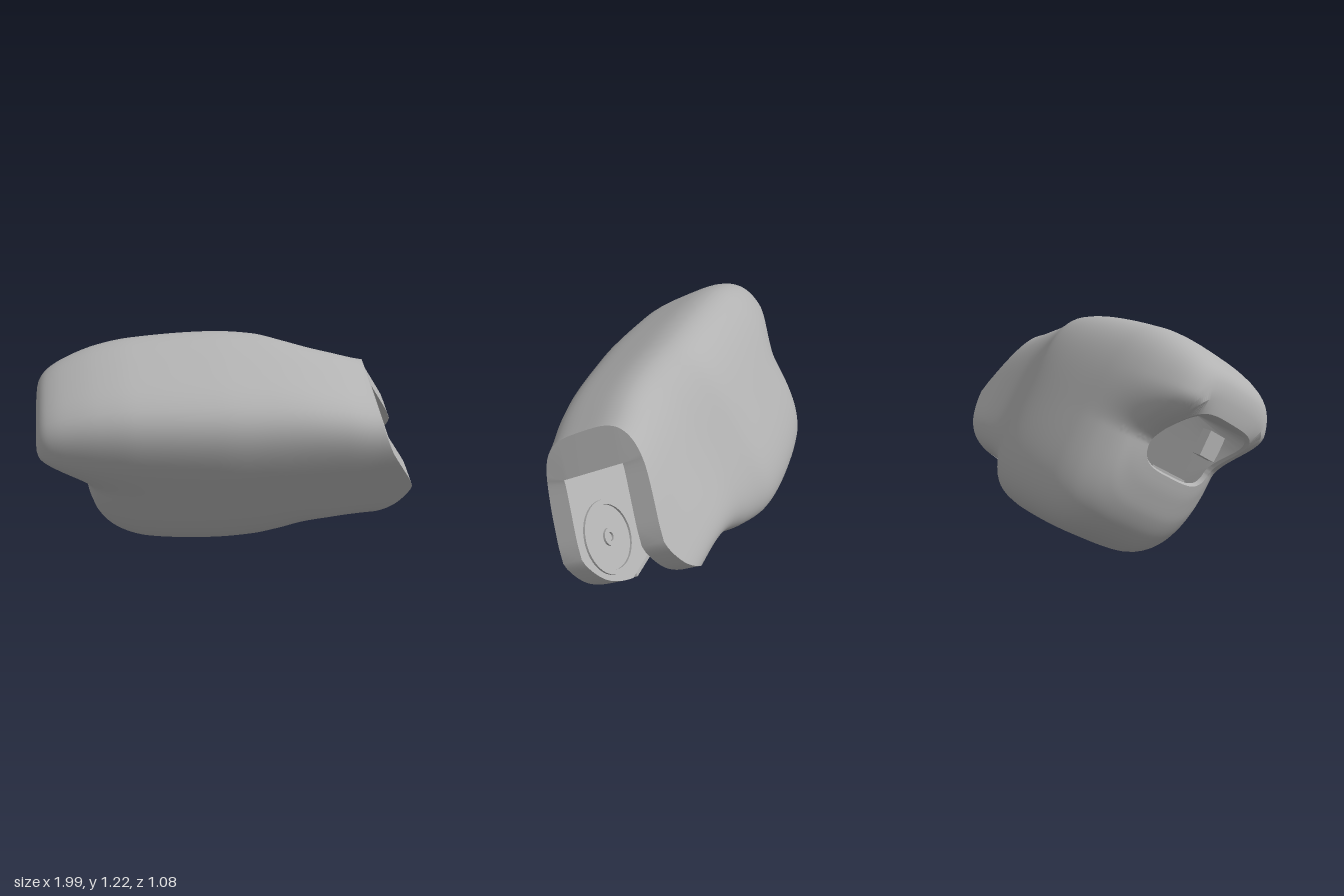
import * as THREE from 'three';
import { toCreasedNormals } from 'three/addons/utils/BufferGeometryUtils.js';

const { clamp, smoothstep } = THREE.MathUtils;

// Smooth interpolation through rows of [key, values...]
function sample(rows, key) {
  const k = clamp(key, rows[0][0], rows[rows.length - 1][0]);
  let i = 0;
  while (i < rows.length - 2 && k > rows[i + 1][0]) i++;
  const slope = (n, c) => {
    const a = rows[Math.max(n - 1, 0)], b = rows[Math.min(n + 1, rows.length - 1)];
    return (b[c] - a[c]) / (b[0] - a[0]);
  };
  const a = rows[i], b = rows[i + 1], h = b[0] - a[0], t = (k - a[0]) / h;
  return a.slice(1).map((_, n) => {
    const c = n + 1, t2 = t * t, t3 = t2 * t;
    return (2 * t3 - 3 * t2 + 1) * a[c] + (t3 - 2 * t2 + t) * h * slope(i, c)
      + (3 * t2 - 2 * t3) * b[c] + (t3 - t2) * h * slope(i + 1, c);
  });
}

// Shell extents along its length: station, side min, side max, bottom, top
const EXTENTS = [
  [-1, -0.175, 0.235, -0.11, 0.22],
  [-0.99, -0.205, 0.255, -0.16, 0.32],
  [-0.97, -0.235, 0.272, -0.215, 0.385],
  [-0.92, -0.28, 0.3, -0.32, 0.435],
  [-0.82, -0.325, 0.33, -0.43, 0.485],
  [-0.68, -0.365, 0.36, -0.51, 0.53],
  [-0.5, -0.39, 0.388, -0.555, 0.56],
  [-0.1, -0.405, 0.42, -0.578, 0.576],
  [0.15, -0.382, 0.42, -0.57, 0.565],
  [0.3, -0.325, 0.414, -0.525, 0.55],
  [0.42, -0.28, 0.406, -0.46, 0.53],
  [0.55, -0.252, 0.396, -0.422, 0.5],
  [0.75, -0.238, 0.382, -0.41, 0.44],
  [1, -0.235, 0.375, -0.41, 0.42],
];
// Fork end outline: relative height, x
const FORK_END = [
  [-1, 0.72], [-0.92, 0.785], [-0.8, 0.86], [-0.65, 0.925], [-0.5, 0.965], [-0.3, 0.995],
  [-0.15, 0.999], [0, 0.965], [0.3, 0.885], [0.6, 0.805], [1, 0.72],
];
const POWER = 3.8;
const SLOT = { w0: -0.11, w1: 0.255, v0: -0.38, v1: 0.27, x: 0.55 };

// Columns around the section; the slot columns at the bottom stop short of the fork
function makeColumns() {
  const edge = Math.acos(Math.pow(0.6, POWER / 2));
  const cols = [];
  const arc = (middle, half, n, slot) => {
    for (let i = -n; i <= n; i++) {
      const t = middle + half * Math.sign(i) * (i / n) ** 2;
      const c = Math.cos(t), s = Math.sin(t);
      cols.push({
        w: Math.sign(c) * Math.pow(Math.abs(c), 2 / POWER),
        v: Math.sign(s) * Math.pow(Math.abs(s), 2 / POWER),
        slot,
      });
    }
  };
  arc(0, edge, 24, false);
  arc(Math.PI / 2, Math.PI / 2 - edge, 5, false);
  arc(Math.PI, edge, 24, false);
  arc(Math.PI * 1.5, Math.PI / 2 - edge, 5, true);
  return cols;
}

function shellGeometry() {
  const cols = makeColumns();
  const endX = (c, v) => (c.slot ? SLOT.x : sample(FORK_END, v)[0]);
  // the lower corners get squarer toward the fork
  const height = (c, x) => (c.v > 0 ? c.v : -Math.pow(-c.v, 1 - 0.45 * smoothstep(x, 0.25, 0.6)));
  const outer = (s, c) => {
    const reach = Math.max(0, (s - SLOT.x) / (1 - SLOT.x));
    const x = Math.min(s, SLOT.x) + reach * (endX(c, height(c, 1)) - SLOT.x);
    const [w0, w1, v0, v1] = sample(EXTENTS, x);
    const y = (v0 + v1) / 2 + (v1 - v0) / 2 * height(c, x);
    // the rear end is set back below its upper lip
    const notch = 0.24 * (1 - smoothstep(y, -0.02, 0.26)) * Math.max(0, -s) ** 2;
    return [x + notch, y, (w0 + w1) / 2 + (w1 - w0) / 2 * c.w];
  };
  const inner = (c, x) => {
    const p = outer(1, c);
    return [x ?? endX(c, Math.min(height(c, 1), 0.6)),
      clamp(p[1], SLOT.v0, SLOT.v1), clamp(p[2], SLOT.w0, SLOT.w1)];
  };
  const rings = [];
  // outside surface, closely spaced where the rear end rounds over
  for (let i = 0; i <= 60; i++) {
    const t = i / 60;
    const s = -1 + (1 + SLOT.x) * (0.75 * t * t + 0.25 * t);
    rings.push(cols.map((c) => outer(s, c)));
  }
  // fork cheeks
  for (let i = 1; i <= 12; i++) {
    rings.push(cols.map((c) => outer(SLOT.x + (1 - SLOT.x) * i / 12, c)));
  }
  // fork end face, cavity walls and rear lip
  rings.push(cols.map((c) => inner(c)));
  rings.push(cols.map((c) => inner(c, 0.45)));
  rings.push(cols.map((c) => inner(c, -0.45)));
  rings.push(cols.map((c) => {
    const p = outer(-1, c);
    return [p[0] + 0.02, 0.055 + (p[1] - 0.055) * 0.94, 0.03 + (p[2] - 0.03) * 0.94];
  }));

  const pos = rings.flat(2), index = [], n = cols.length;
  rings.forEach((_, i) => {
    const r0 = i * n, r1 = ((i + 1) % rings.length) * n;
    for (let j = 0; j < n; j++) {
      const k = (j + 1) % n;
      index.push(r0 + j, r1 + j, r0 + k, r1 + j, r1 + k, r0 + k);
    }
  });
  const g = new THREE.BufferGeometry();
  g.setAttribute('position', new THREE.Float32BufferAttribute(pos, 3));
  g.setIndex(index);
  return toCreasedNormals(g, 0.6);
}

export function createModel() {
  const model = new THREE.Group();
  model.name = 'limbCover';
  const grey = new THREE.MeshStandardMaterial({ color: 0xb2b2b2 });
  grey.name = 'grey plastic';

  // The whole cover is rolled about its long axis
  const body = new THREE.Group();
  body.name = 'rolledCover';
  body.rotation.x = Math.PI / 6;
  model.add(body);
  const add = (name, geometry, x, v, w) => {
    const mesh = new THREE.Mesh(geometry, grey);
    mesh.name = name;
    mesh.position.set(x, v, w);
    body.add(mesh);
    return mesh;
  };

  const shell = add('shell', shellGeometry(), 0, 0, 0);

  // Round hinge seats on the inner faces of both fork cheeks
  const seat = new THREE.Shape().absarc(0, 0, 0.19, 0, Math.PI * 2);
  seat.holes.push(new THREE.Path().absarc(0, 0, 0.165, 0, Math.PI * 2, true));
  const hub = new THREE.Shape().absarc(0, 0, 0.045, 0, Math.PI * 2);
  hub.holes.push(new THREE.Path().absarc(0, 0, 0.022, 0, Math.PI * 2, true));
  const options = { depth: 0.012, bevelEnabled: false, curveSegments: 32 };
  for (const [side, w] of [['left', SLOT.w1 - 0.012], ['right', SLOT.w0]]) {
    add(side + 'HingeSeat', new THREE.ExtrudeGeometry(seat, options), 0.76, -0.12, w);
    add(side + 'HingeHub', new THREE.ExtrudeGeometry(hub, options), 0.76, -0.12, w);
  }

  // Mounting tabs inside the rear opening
  add('upperTab', new THREE.BoxGeometry(0.06, 0.13, 0.13), -0.74, 0.12, 0.19);
  add('lowerTab', new THREE.BoxGeometry(0.08, 0.14, 0.24), -0.58, -0.15, 0.13);
  add('sideTab', new THREE.BoxGeometry(0.06, 0.08, 0.1), -0.62, -0.15, -0.07);

  // Stand the cover on the ground
  model.updateMatrixWorld(true);
  const box = new THREE.Box3().setFromObject(shell, true);
  body.position.set(-(box.min.x + box.max.x) / 2, -box.min.y, -(box.min.z + box.max.z) / 2);
  return model;
}
